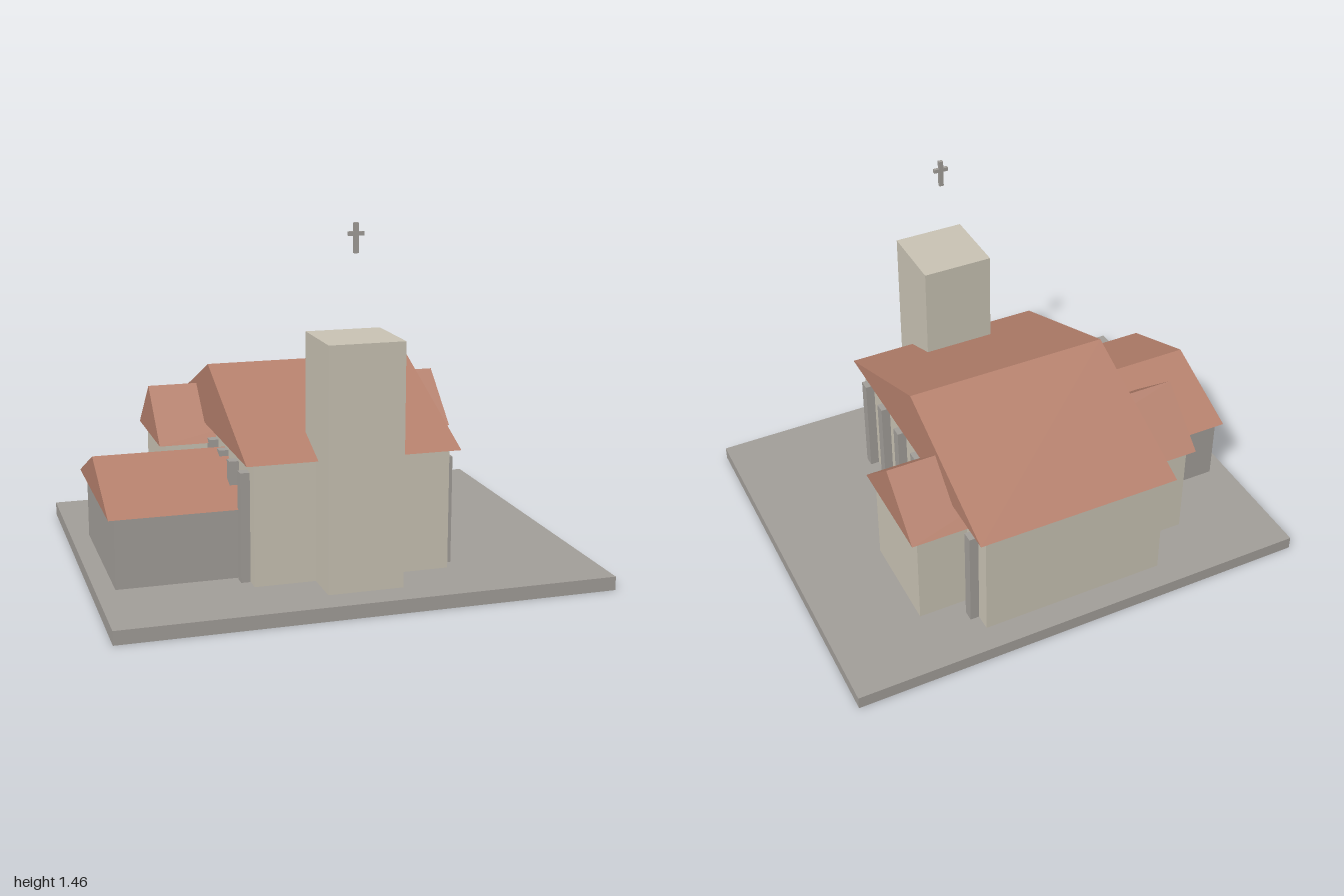
import * as THREE from 'three';

const material = (name, color) => {
  const m = new THREE.MeshStandardMaterial({ color });
  m.name = name;
  return m;
};

export function createModel() {
  const stone = material('grey stone', 0xa29e99);
  const plaster = material('beige plaster', 0xc9c3b4);
  const tile = material('terracotta tile', 0xb5806c);

  const church = new THREE.Group();
  church.name = 'church';

  const add = (name, geometry, mat, parent = church) => {
    const mesh = new THREE.Mesh(geometry, mat);
    mesh.name = name;
    parent.add(mesh);
    return mesh;
  };

  // Box given by its lower and upper limits on each axis
  const box = (name, mat, [x0, x1], [y0, y1], [z0, z1], parent) => {
    const g = new THREE.BoxGeometry(x1 - x0, y1 - y0, z1 - z0);
    g.translate((x0 + x1) / 2, (y0 + y1) / 2, (z0 + z1) / 2);
    return add(name, g, mat, parent);
  };

  // Solid gable roof with its ridge along x
  const gable = (name, [x0, x1], [eave, ridge], [z0, z1]) => {
    const profile = new THREE.Shape();
    profile.moveTo(-z1, eave);
    profile.lineTo(-z0, eave);
    profile.lineTo(-(z0 + z1) / 2, ridge);
    profile.closePath();
    const g = new THREE.ExtrudeGeometry(profile, { depth: x1 - x0, bevelEnabled: false });
    g.rotateY(Math.PI / 2);
    g.translate(x0, 0, 0);
    return add(name, g, tile);
  };

  const floor = 0.056;
  box('plinth', stone, [-1, 1], [0, floor], [-0.82, 0.82]);

  // Nave
  box('naveWalls', plaster, [-0.4, 0.4], [floor, 0.55], [-0.71, 0.528]);
  gable('naveRoof', [-0.436, 0.436], [0.551, 0.82], [-0.742, 0.564]);

  // Transept crossing the nave
  box('transeptWalls', plaster, [-0.615, 0.615], [floor, 0.48], [-0.535, -0.112]);
  gable('transeptRoof', [-0.645, 0.645], [0.481, 0.69], [-0.56, -0.09]);

  // Low side wing
  box('wingWalls', stone, [-0.922, -0.4], [floor, 0.343], [-0.3, 0.405]);
  gable('wingRoof', [-0.947, -0.4], [0.344, 0.5], [-0.325, 0.433]);

  // Pilasters along both nave walls
  const pilasters = new THREE.Group();
  pilasters.name = 'pilasters';
  church.add(pilasters);
  for (let i = 0; i < 7; i++) {
    const z = 0.444 - i * 0.177;
    for (const [x0, x1] of [[-0.438, -0.395], [0.395, 0.438]]) {
      box('pilaster', stone, [x0, x1], [floor, 0.5], [z - 0.023, z + 0.023], pilasters);
    }
  }

  // Bell tower and the cross above it
  box('tower', plaster, [-0.152, 0.152], [floor, 1.027], [0.388, 0.694]);
  const cross = new THREE.Group();
  cross.name = 'cross';
  church.add(cross);
  box('crossUpright', stone, [-0.009, 0.009], [1.345, 1.46], [0.535, 0.551], cross);
  box('crossArm', stone, [-0.031, 0.031], [1.411, 1.427], [0.536, 0.55], cross);

  return church;
}
